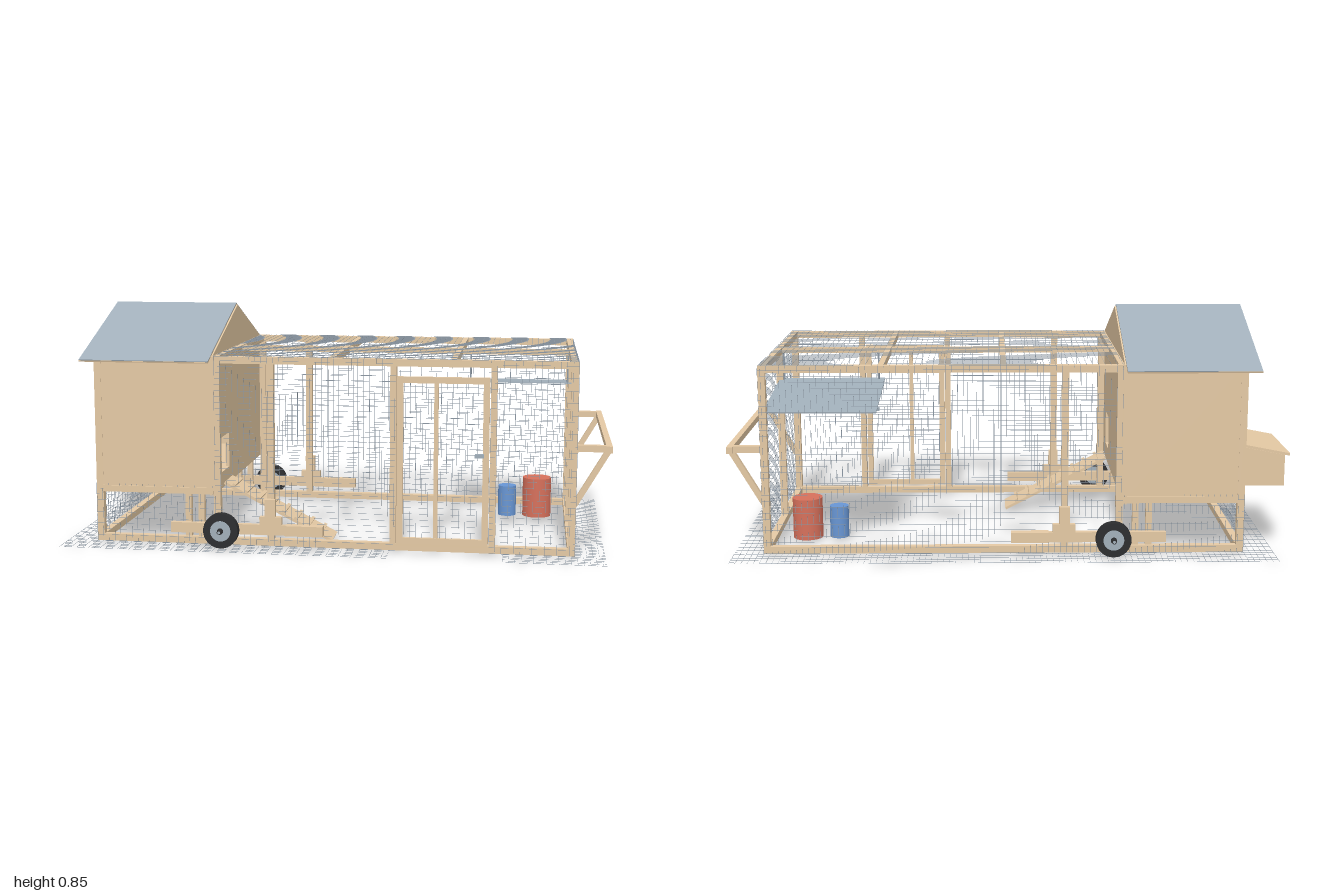
import * as THREE from 'three';
import { mergeGeometries } from 'three/addons/utils/BufferGeometryUtils.js';

const mat = (name, color) => {
  const m = new THREE.MeshStandardMaterial({ color });
  m.name = name;
  return m;
};

export function createModel() {
  const root = new THREE.Group();
  root.name = 'chickenCoop';
  const wood = mat('wood', 0xe4c9a4);
  const metal = mat('sheetMetal', 0xa1afba);
  const wire = mat('wire', 0x8c98a4);
  const rubber = mat('rubber', 0x2c2d2f);
  const red = mat('redPlastic', 0xd6705b);
  const blue = mat('bluePlastic', 0x6896d4);

  const add = (name, geo, material, parent = root) => {
    const m = new THREE.Mesh(geo, material);
    m.name = name;
    parent.add(m);
    return m;
  };
  // Box given by its limits on each axis
  const box = (name, x0, x1, y0, y1, z0, z1, material = wood, parent = root) => {
    const m = add(name, new THREE.BoxGeometry(x1 - x0, y1 - y0, z1 - z0), material, parent);
    m.position.set((x0 + x1) / 2, (y0 + y1) / 2, (z0 + z1) / 2);
    return m;
  };
  // Board in the x-y plane from a to b, centred on z
  const board = (name, ax, ay, bx, by, z, thick, width) => {
    const m = add(name, new THREE.BoxGeometry(Math.hypot(bx - ax, by - ay), thick, width), wood);
    m.position.set((ax + bx) / 2, (ay + by) / 2, z);
    m.rotation.z = Math.atan2(by - ay, bx - ax);
  };
  const points = list => list.map(p => new THREE.Vector2(...p));

  // Run frame
  const X0 = -0.84, X1 = 0.878, Z = 0.43, Y0 = 0.012, Y1 = 0.693, T = 0.025;
  const frame = new THREE.Group();
  frame.name = 'runFrame';
  root.add(frame);
  for (const s of [-1, 1]) {
    const z0 = s > 0 ? Z - T : -Z, z1 = z0 + T;
    box('bottomRail', X0, X1, Y0, Y0 + T, z0, z1, wood, frame);
    box('topRail', X0, X1, Y1 - T, Y1, z0, z1, wood, frame);
    for (const x of [X0, -0.405, -0.21, X1 - T]) box('post', x, x + T, Y0 + T, Y1 - T, z0, z1, wood, frame);
  }
  for (const x of [0.23, 0.58]) box('doorPost', x, x + 0.022, Y0 + T, Y1 - T, Z - T, Z, wood, frame);
  for (const x of [X0, X1 - T]) box('endBottomRail', x, x + T, Y0, Y0 + T, -Z + T, Z - T, wood, frame);
  for (const x of [-0.405, 0.01, 0.44, X1 - T])
    box('crossBeam', x, x + 0.02, Y1 - T, Y1, -Z + T, Z - T, wood, frame);
  box('ridgeBeam', -0.4, X1 - T, Y1 - 0.022, Y1 - 0.001, -0.01, 0.01, wood, frame);
  box('endCentrePost', X1 - T, X1, Y0 + T, Y1 - T, -0.01, 0.01, wood, frame);

  // Coop walls: gables with openings for the hen door and the louvre
  const gable = (name, x, [a, b, c, d]) => {
    const s = new THREE.Shape(points([[-Z, 0.19], [Z, 0.19], [Z, 0.689], [0, 0.847], [-Z, 0.689]]));
    s.holes.push(new THREE.Path(points([[a, c], [a, d], [b, d], [b, c]])));
    const g = new THREE.ExtrudeGeometry(s, { depth: 0.014, bevelEnabled: false });
    g.rotateY(-Math.PI / 2);
    add(name, g, wood).position.x = x;
  };
  gable('innerGableWall', -0.405, [0.175, 0.305, 0.25, 0.38]);
  gable('outerGableWall', -0.826, [-0.06, 0.335, 0.27, 0.64]);
  for (const s of [-1, 1]) {
    box('sideWall', X0 + T, -0.405, 0.2, 0.685, s * 0.424 - 0.005, s * 0.424 + 0.005);
    box('sideWallBottomTrim', X0 + T, -0.405, 0.195, 0.218, s * 0.43 - 0.004, s * 0.43 + 0.004);
  }
  box('coopFloor', X0 + 0.014, -0.419, 0.218, 0.23, -0.419, 0.419);
  for (let i = 0; i < 4; i++) {
    const x = -0.76 + i * 0.095;
    box('floorJoist', x, x + 0.02, 0.2, 0.218, -0.419, 0.419);
  }

  // Louvre slats, tilted to shed rain
  for (let i = 0; i < 8; i++) {
    const y = 0.293 + i * 0.0463;
    box('louvreSlat', -0.811, -0.807, y - 0.037, y + 0.037, -0.06, 0.335, metal).rotation.z = -0.88;
  }

  // Roof: sheet metal over boards
  const slope = Math.atan2(0.175, 0.475);
  for (const s of [-1, 1]) {
    for (const [name, y0, y1, m] of [['roofSheet', 0.764, 0.767, metal], ['roofBoard', 0.759, 0.764, wood]])
      box(name, -0.88, -0.41, y0, y1, s * 0.2375 - 0.253, s * 0.2375 + 0.253, m).rotation.x = s * slope;
  }

  // Nest box with sloping lid
  const nest = new THREE.Shape(points([[-0.985, 0.25], [-0.84, 0.25], [-0.84, 0.39], [-0.985, 0.362]]));
  add('nestBox', new THREE.ExtrudeGeometry(nest, { depth: 0.3, bevelEnabled: false }), wood).position.z = -0.4;
  board('nestBoxLid', -1, 0.366, -0.835, 0.398, -0.25, 0.009, 0.32);

  // Hen ramp with rungs and its cord
  board('ramp', -0.395, 0.212, 0.005, 0.006, 0.24, 0.01, 0.128);
  for (let i = 0; i < 8; i++) {
    const x = -0.36 + i * 0.046, y = 0.212 - (x + 0.395) * 0.515;
    box('rampRung', x - 0.006, x + 0.006, y + 0.003, y + 0.015, 0.178, 0.302).rotation.z = -0.476;
  }
  box('rampCord', 0.019, 0.021, 0.015, 0.67, 0.239, 0.241, wire);

  // Run door
  const door = new THREE.Group();
  door.name = 'runDoor';
  root.add(door);
  for (const x of [0.255, 0.385, 0.555])
    box('doorStile', x, x + (x === 0.385 ? 0.015 : 0.022), 0.045, 0.63, 0.43, 0.442, wood, door);
  for (const y of [0.04, 0.612]) box('doorRail', 0.255, 0.577, y, y + 0.022, 0.43, 0.443, wood, door);
  box('doorLatch', 0.528, 0.56, 0.355, 0.369, 0.442, 0.455, metal, door);

  // Lifting handle at the end
  box('handleBar', 0.977, 0.998, 0.38, 0.403, -Z, Z);
  for (const s of [-1, 1]) {
    box('handleArm', X1, 0.977, 0.38, 0.403, s * 0.405 - 0.011, s * 0.405 + 0.011);
    board('handleBrace', 0.872, 0.187, 0.985, 0.382, s * 0.4, 0.02, 0.018);
  }

  // Wheel levers and wheels on both sides
  for (const s of [-1, 1]) {
    const w = new THREE.Group();
    w.name = s > 0 ? 'frontWheelUnit' : 'backWheelUnit';
    w.position.z = s * 0.44;
    root.add(w);
    box('leverBoard', -0.56, -0.14, 0.056, 0.093, -0.01, 0.01, wood, w);
    box('leverGrip', -0.14, -0.006, 0.056, 0.093, -0.018, 0.018, wood, w);
    box('leverBlock', -0.235, -0.155, 0.056, 0.122, -0.011, 0.011, wood, w);
    box('leverPost', -0.216, -0.178, 0.122, 0.185, -0.011, 0.011, wood, w);
    for (const x of [-0.51, -0.462]) box('supportPost', x, x + 0.022, 0.04, 0.2, -s * 0.02 - 0.01, -s * 0.02 + 0.01, wood, w);
    const disc = (name, r, len, z, m) => {
      const g = new THREE.CylinderGeometry(r, r, len, 32);
      g.rotateX(Math.PI / 2);
      add(name, g, m, w).position.set(-0.37, 0.073, s * z);
    };
    disc('tire', 0.063, 0.03, 0.03, rubber);
    disc('wheelHub', 0.037, 0.034, 0.03, metal);
    disc('hubCap', 0.011, 0.04, 0.032, rubber);
    disc('axle', 0.005, 0.075, 0.033, metal);
    disc('axleNut', 0.008, 0.006, 0.064, rubber);
  }

  // Sloping shade panel on hangers
  box('shadePanel', 0.468, 0.868, 0.544, 0.549, -0.42, 0.02, metal).rotation.x = -0.1;
  for (const x of [0.49, 0.85]) box('shadeHanger', x - 0.003, x + 0.003, 0.565, 0.67, -0.003, 0.003, wire);

  // Feeder and drinker standing on the ground
  const pail = (name, x, z, r, top, m) => {
    const h = top - 0.012;
    add(name, new THREE.CylinderGeometry(r, r, h, 32), m).position.set(x, 0.012 + h / 2, z);
  };
  pail('feeder', 0.746, -0.215, 0.055, 0.164, red);
  pail('drinker', 0.63, -0.21, 0.035, 0.13, blue);

  // Wire mesh panels: fixed axis k at value v, spanning [a0,a1] and [b0,b1] on the other two axes
  const cell = 0.0215, d = 0.0008;
  const netting = (name, k, v, a0, a1, b0, b1) => {
    const [ia, ib] = [0, 1, 2].filter(i => i !== k);
    const parts = [];
    const strand = (i, at, j, from, to) => {
      const size = [d, d, d], pos = [v, v, v];
      size[j] = to - from;
      pos[i] = at;
      pos[j] = (from + to) / 2;
      parts.push(new THREE.BoxGeometry(...size).translate(...pos));
    };
    for (let a = a0; a <= a1 + 1e-6; a += cell) strand(ia, a, ib, b0, b1);
    for (let b = b0; b <= b1 + 1e-6; b += cell) strand(ib, b, ia, a0, a1);
    add(name, mergeGeometries(parts), wire);
  };
  const F = Z + 0.001;
  netting('backMesh', 2, -F, -0.4, X1, Y0, Y1);
  netting('frontMeshLeft', 2, F, -0.4, 0.25, Y0, Y1);
  netting('frontMeshRight', 2, F, 0.58, X1, Y0, Y1);
  netting('doorMesh', 2, 0.437, 0.258, 0.575, 0.04, 0.63);
  netting('endMesh', 0, X1 + 0.001, Y0, Y1, -Z, Z);
  netting('topMesh', 1, Y1 + 0.001, -0.4, X1, -Z, Z);
  netting('underCoopFrontMesh', 2, F, X0, -0.4, Y0, 0.225);
  netting('underCoopBackMesh', 2, -F, X0, -0.4, Y0, 0.225);
  netting('underCoopEndMesh', 0, X0 - 0.001, Y0, 0.21, -Z, Z);
  // Ground skirt against diggers, open at the door
  netting('skirtBack', 1, 0.01, -0.95, 0.985, -0.54, -Z);
  netting('skirtFrontLeft', 1, 0.01, -0.95, 0.23, Z, 0.54);
  netting('skirtFrontRight', 1, 0.01, 0.63, 0.985, Z, 0.54);
  netting('skirtOuterEnd', 1, 0.01, -0.95, X0, -Z, Z);
  netting('skirtHandleEnd', 1, 0.01, X1, 0.985, -Z, Z);

  return root;
}
